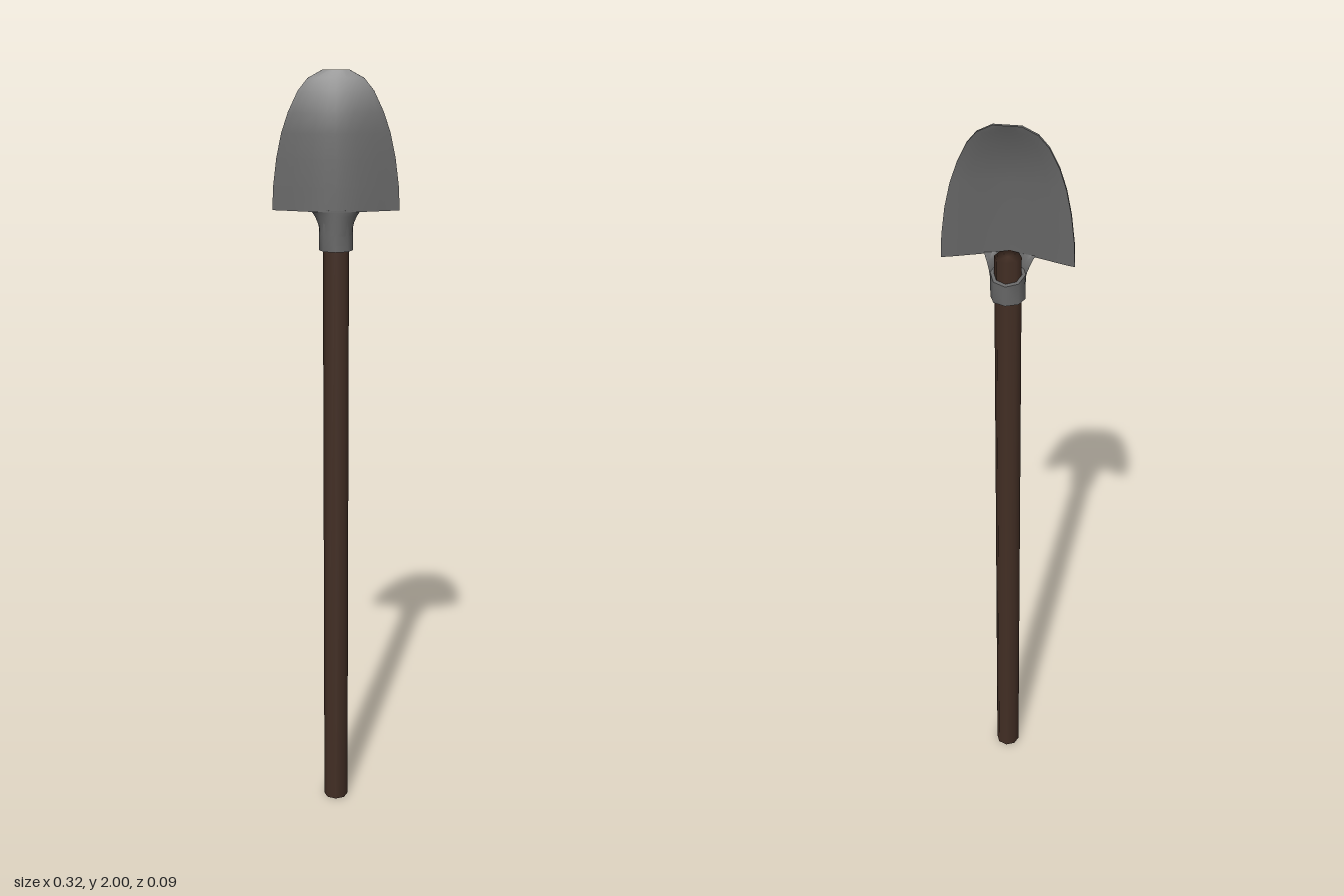
import * as THREE from 'three';
import { mergeVertices, toCreasedNormals } from 'three/addons/utils/BufferGeometryUtils.js';

// Closed loft: every row is a ring of front points (-x to +x) followed by back points (+x to -x)
function loftPlate(rows) {
  const n = rows[0].length, half = n / 2, last = (rows.length - 1) * n;
  const index = [];
  const quad = (a, b, c, d) => index.push(a, b, c, a, c, d);
  for (let r = 0; r < rows.length - 1; r++) {
    for (let i = 0; i < n; i++) {
      const j = (i + 1) % n;
      quad(r * n + i, r * n + j, (r + 1) * n + j, (r + 1) * n + i);
    }
  }
  for (let i = 0; i < half - 1; i++) {
    quad(i, n - 1 - i, n - 2 - i, i + 1);
    quad(last + i, last + i + 1, last + n - 2 - i, last + n - 1 - i);
  }
  const geometry = new THREE.BufferGeometry();
  geometry.setAttribute('position', new THREE.Float32BufferAttribute(rows.flat(2), 3));
  geometry.setIndex(index);
  return toCreasedNormals(geometry, 1.0);
}

// Ring from front points, with the back offset towards -z
function plateRing(front, thickness) {
  const back = front.map(([x, y, z]) => [x, y, z - thickness]).reverse();
  return [...front, ...back];
}

// Dish section: share of the centre depth at each fraction of the half width
const DISH = [[0, 1], [0.19, 0.91], [0.375, 0.77], [0.69, 0.36], [0.875, 0.12], [1, 0]];
function dish(t) {
  const a = Math.abs(t);
  const k = Math.max(1, DISH.findIndex(([u]) => u >= a - 1e-6));
  const [u0, v0] = DISH[k - 1], [u1, v1] = DISH[k];
  return THREE.MathUtils.lerp(v0, v1, (a - u0) / (u1 - u0));
}

export function createModel() {
  const model = new THREE.Group();
  const steel = new THREE.MeshStandardMaterial({ color: 0x666666 });
  steel.name = 'dark steel';
  const wood = new THREE.MeshStandardMaterial({ color: 0x422e24 });
  wood.name = 'dark wood';
  const add = (name, geometry, material) => {
    const mesh = new THREE.Mesh(geometry, material);
    mesh.name = name;
    model.add(mesh);
  };

  // Octagonal handle with fully smoothed normals
  let pole = new THREE.CylinderGeometry(0.033, 0.033, 1.67, 8).translate(0, 0.835, 0);
  pole.deleteAttribute('normal');
  pole.deleteAttribute('uv');
  pole = mergeVertices(pole);
  pole.computeVertexNormals();
  add('handle', pole, wood);

  // Blade rows: height, half width, centre depth, edge depth
  const bladeRows = [
    [1.66, 0.16, 0.043, 0],
    [1.72, 0.157, 0.041, 0.001],
    [1.79, 0.148, 0.038, 0.003],
    [1.85, 0.135, 0.034, 0.006],
    [1.9, 0.118, 0.029, 0.008],
    [1.95, 0.094, 0.014, 0.004],
    [1.98, 0.07, 0.004, -0.001],
    [2.0, 0.033, -0.005, -0.005],
  ];
  const columns = [...DISH.slice(1).reverse().map(([u]) => -u), ...DISH.map(([u]) => u)];
  add('blade', loftPlate(bladeRows.map(([y, w, zc, ze]) =>
    plateRing(columns.map((t) => [t * w, y, ze + (zc - ze) * dish(t)]), 0.008))), steel);

  // Neck: half a tube that flares out into the foot of the blade
  const neckRows = [];
  for (let r = 0; r <= 4; r++) {
    const s = r / 4, blend = s * s;
    neckRows.push(plateRing(columns.map((t) => {
      const angle = t * Math.PI / 2;
      const x = THREE.MathUtils.lerp(0.041 * Math.sin(angle), 0.062 * t, blend);
      const z = THREE.MathUtils.lerp(0.042 * Math.cos(angle), 0.043 * dish(t * 0.3875), blend);
      return [x, 1.6 + 0.064 * s, z];
    }), 0.008));
  }
  add('neck', loftPlate(neckRows), steel);

  // Socket around the handle, its upper rim sloping down to the back
  const profile = [[0.033, 1.56], [0.043, 1.56], [0.043, 1.62], [0.034, 1.62], [0.033, 1.56]];
  const socket = new THREE.LatheGeometry(profile.map(([x, y]) => new THREE.Vector2(x, y)), 8);
  const p = socket.attributes.position;
  for (let i = 0; i < p.count; i++) {
    if (p.getY(i) > 1.6) p.setY(i, 1.625 + p.getZ(i) * 0.3);
  }
  add('socket', toCreasedNormals(socket, 1.0), steel);

  return model;
}
